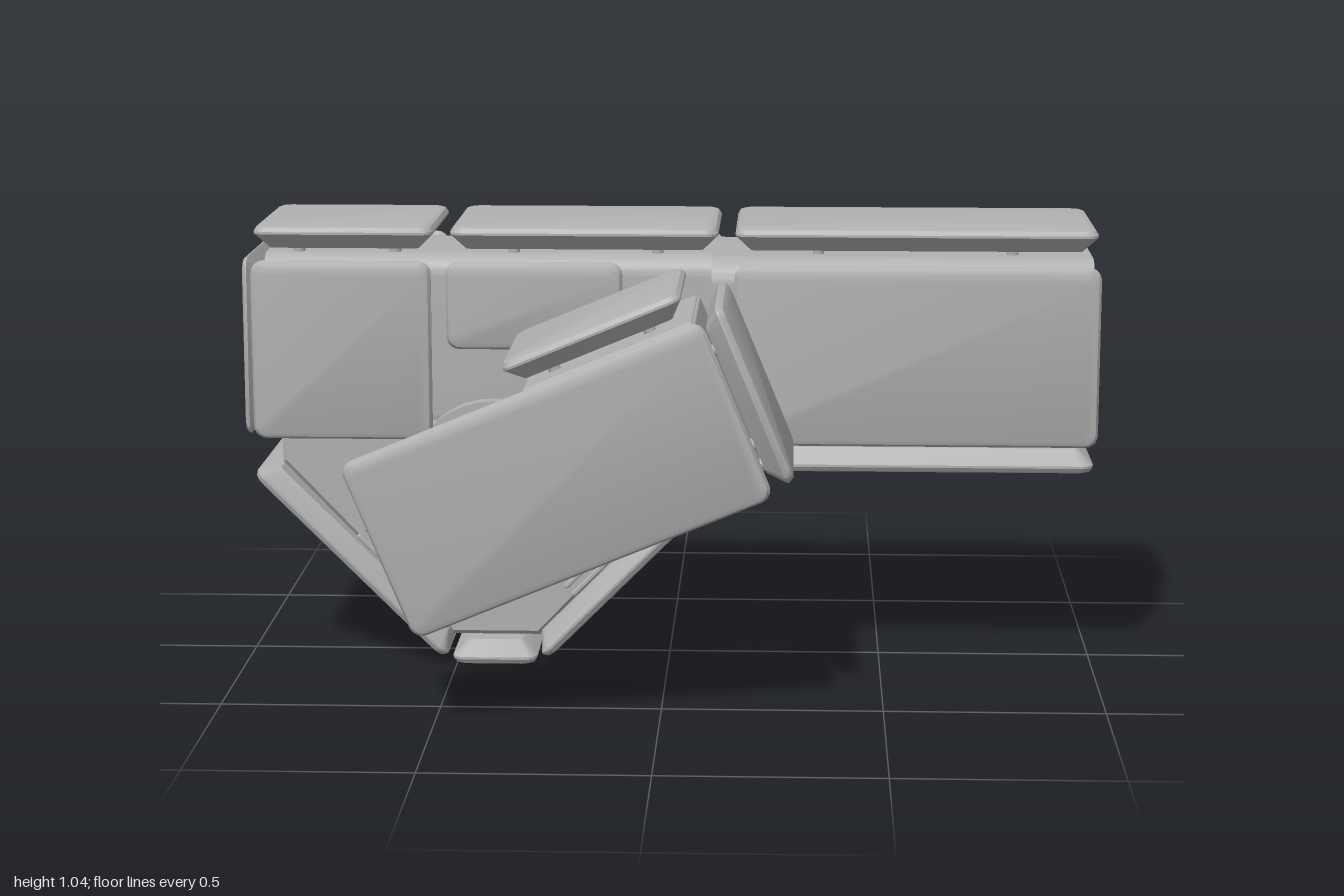
import * as THREE from 'three';
import { toCreasedNormals } from 'three/addons/utils/BufferGeometryUtils.js';
import { RoundedBoxGeometry } from 'three/addons/geometries/RoundedBoxGeometry.js';

const V = (x, y, z) => new THREE.Vector3(x, y, z);

// Rounded rectangle as a shape or path
function roundRect(w, h, r, Type = THREE.Shape) {
  const s = new Type(), a = w / 2 - r, b = h / 2 - r;
  s.absarc(a, b, r, 0, Math.PI / 2);
  s.absarc(-a, b, r, Math.PI / 2, Math.PI);
  s.absarc(-a, -b, r, Math.PI, Math.PI * 1.5);
  s.absarc(a, -b, r, Math.PI * 1.5, Math.PI * 2);
  s.closePath();
  return s;
}

// Bevelled armour plate: outer face at z = 0, tapering inwards to z = -t
function plateGeometry(w, h, t) {
  const rings = [[0.035, -t], [0, -t * 0.35], [0, -t * 0.25], [0.006, -t * 0.07], [0.016, 0]];
  const n = 24, pos = [], idx = [];
  rings.forEach(([inset, z]) => {
    const r = Math.max(0.008, 0.03 - inset * 0.5);
    for (let i = 0; i < n; i++) {
      const q = Math.floor(i / 6), a = (q + (i % 6) / 5) * Math.PI / 2;
      const sx = q === 0 || q === 3 ? 1 : -1, sy = q < 2 ? 1 : -1;
      pos.push(sx * (w / 2 - inset - r) + r * Math.cos(a), sy * (h / 2 - inset - r) + r * Math.sin(a), z);
    }
  });
  for (let k = 0; k < rings.length - 1; k++) {
    for (let i = 0; i < n; i++) {
      const a = k * n + i, b = k * n + (i + 1) % n;
      idx.push(a, b, b + n, a, b + n, a + n);
    }
  }
  const top = (rings.length - 1) * n;
  for (let i = 1; i < n - 1; i++) {
    idx.push(0, i + 1, i, top, top + i, top + i + 1);
  }
  const g = new THREE.BufferGeometry();
  g.setAttribute('position', new THREE.Float32BufferAttribute(pos, 3));
  g.setIndex(idx);
  return toCreasedNormals(g, 0.5);
}

export function createModel() {
  const root = new THREE.Group();
  root.name = 'armouredDevice';
  const grey = new THREE.MeshStandardMaterial({ color: 0xb0b0b0 });
  grey.name = 'plain grey';

  function add(parent, name, geo, x = 0, y = 0, z = 0) {
    const m = new THREE.Mesh(geo, grey);
    m.name = name;
    m.position.set(x, y, z);
    parent.add(m);
    return m;
  }
  const box = (p, name, w, h, d, x, y, z, r = 0.01) =>
    add(p, name, new RoundedBoxGeometry(w, h, d, 2, r), x, y, z);

  // Plate with four mounting pegs; c = middle of outer face, n = outward normal, u = width direction
  function plate(parent, name, w, h, c, n, u, t = 0.055) {
    const g = new THREE.Group();
    g.name = name;
    n.normalize();
    u.normalize();
    g.quaternion.setFromRotationMatrix(new THREE.Matrix4().makeBasis(u, n.clone().cross(u), n));
    g.position.copy(c);
    add(g, name + 'Panel', plateGeometry(w, h, t));
    for (const sx of [-1, 1]) for (const sy of [-1, 1]) {
      const peg = new THREE.CylinderGeometry(0.014, 0.014, 0.04, 10).rotateX(Math.PI / 2);
      add(g, name + 'Peg', peg, sx * w * 0.27, sy * h * 0.27, -t - 0.015);
    }
    parent.add(g);
  }

  // Extrude a y/z cross-section along x
  function alongX(shape, x0, x1) {
    const g = new THREE.ExtrudeGeometry(shape, { depth: x1 - x0, bevelEnabled: false, curveSegments: 6 });
    return toCreasedNormals(g.rotateY(Math.PI / 2).translate(x0, 0, 0), 0.6);
  }

  // Hollow front tube
  const tube = roundRect(0.43, 0.43, 0.06);
  tube.holes.push(roundRect(0.39, 0.39, 0.045, THREE.Path));
  add(root, 'hollowTube', alongX(tube, 0.1, 0.985), 0, 0.76, -0.105);

  // Rear body and the core seen down the tube
  add(root, 'rearBody', alongX(roundRect(0.37, 0.43, 0.05), -0.95, 0.13), 0, 0.76, -0.125);
  const core = (name, r, len, seg, x) =>
    add(root, name, toCreasedNormals(new THREE.CylinderGeometry(r, r, len, seg).rotateX(Math.PI / 2).rotateY(Math.PI / 2), 0.6), x, 0.76, -0.105);
  core('coreCollar', 0.18, 0.1, 8, 0.17);
  core('coreDrum', 0.158, 0.14, 36, 0.23);
  core('coreCap', 0.11, 0.15, 36, 0.235);

  // Top plates
  const X = () => V(1, 0, 0), up = () => V(0, 1, 0);
  for (const [a, b] of [[-0.97, -0.55], [-0.51, 0.115], [0.155, 0.995]]) {
    plate(root, 'topPlate', b - a, 0.41, V((a + b) / 2, 1.045, -0.105), up(), X());
  }
  // Plates on the sides: x range, y range, z of outer face, direction
  const sides = [
    [0.155, 0.995, 0.55, 0.97, 0.19, 1], [-0.97, -0.55, 0.55, 0.97, 0.15, 1],
    [-0.515, -0.105, 0.765, 0.97, 0.15, 1], [0.155, 0.995, 0.55, 0.97, -0.395, -1],
    [-0.08, 0.12, 0.55, 0.97, -0.395, -1], [-0.52, -0.11, 0.765, 0.97, -0.395, -1],
    [-0.97, -0.56, 0.55, 0.97, -0.395, -1]];
  for (const [a, b, y0, y1, z, s] of sides) {
    plate(root, s > 0 ? 'frontSidePlate' : 'backSidePlate', b - a, y1 - y0, V((a + b) / 2, (y0 + y1) / 2, z), V(0, 0, s), X());
  }
  plate(root, 'tubeBottomPlate', 0.84, 0.41, V(0.575, 0.47, -0.105), V(0, -1, 0), X());
  plate(root, 'endPlate', 0.41, 0.42, V(-0.998, 0.76, -0.105), V(-1, 0, 0), V(0, 0, 1), 0.035);

  // Wedge-shaped lower housing
  const wedge = new THREE.Shape([[-0.9, 0.57], [-0.9, 0.49], [-0.51, 0.08], [-0.31, 0.08], [0.08, 0.49], [0.08, 0.57]]
    .map(([x, y]) => new THREE.Vector2(x, y)));
  add(root, 'wedgeHousing', new THREE.ExtrudeGeometry(wedge, { depth: 0.32, bevelSize: 0.01, bevelThickness: 0.01, bevelSegments: 1 }), 0, 0, -0.23);
  for (const s of [-1, 1]) {
    plate(root, 'wedgePlate', 0.625, 0.42, V(-0.41 + s * 0.345, 0.24, -0.06), V(s, -1, 0), V(1, s, 0));
    // Vent ribs on the housing faces
    for (const z of [0.104, -0.244]) for (let i = 0; i < 4; i++) {
      const rib = box(root, 'ventRib', 0.2, 0.012, 0.012, -0.41 + s * (0.2 + i * 0.018), 0.265 + i * -0.018 + 0.03, z, 0.004);
      rib.rotation.z = s * Math.PI / 4;
    }
  }
  plate(root, 'wedgeBottomPlate', 0.2, 0.42, V(-0.41, 0.008, -0.06), V(0, -1, 0), X());
  const disc = (name, r, len, z) =>
    add(root, name, new THREE.CylinderGeometry(r, r, len, 36).rotateX(Math.PI / 2), -0.41, 0.44, z);
  disc('pivotDisc', 0.2, 0.04, 0.11);
  disc('pivotHub', 0.13, 0.05, 0.12);

  // Rear box turned on its corner
  const rear = new THREE.Group();
  rear.name = 'rearBox';
  rear.position.set(-0.41, 0.435, 0);
  rear.rotation.z = Math.PI / 4;
  root.add(rear);
  box(rear, 'rearBoxCore', 0.41, 0.41, 0.44, 0, 0, -0.455, 0.02);
  plate(rear, 'rearBoxBackPlate', 0.42, 0.42, V(0, 0, -0.725), V(0, 0, -1), X(), 0.035);
  for (const [dx, dy, lower] of [[1, 0, 0], [0, 1, 0], [-1, 0, 1], [0, -1, 1]]) {
    plate(rear, lower ? 'rearBoxLowerPlate' : 'rearBoxUpperPlate', 0.42, lower ? 0.41 : 0.2,
      V(dx * 0.27, dy * 0.27, lower ? -0.475 : -0.585), V(dx, dy, 0), V(-dy, dx, 0));
    // Grille ribs in front of the short upper plates
    if (!lower) for (let i = 0; i < 6; i++) {
      const k = -0.125 + i * 0.05;
      box(rear, 'grilleRib', dx ? 0.03 : 0.02, dy ? 0.03 : 0.02, 0.16, dx * 0.21 + dy * k, dy * 0.21 + dx * k, -0.36, 0.004);
    }
  }

  // Tilted guard on the front
  const guard = new THREE.Group();
  guard.name = 'frontGuard';
  guard.position.set(-0.22, 0.575, 0);
  guard.rotation.z = Math.PI / 8;
  root.add(guard);
  plate(guard, 'guardFacePlate', 0.85, 0.42, V(0, 0, 0.718), V(0, 0, 1), X(), 0.06);
  plate(guard, 'guardTopPlate', 0.42, 0.41, V(0.185, 0.275, 0.43), up(), X());
  plate(guard, 'guardEndPlate', 0.41, 0.42, V(0.475, 0, 0.43), V(1, 0, 0), V(0, 0, -1));
  box(guard, 'guardInnerFace', 0.77, 0.34, 0.018, 0, 0, 0.648, 0.006);
  box(guard, 'guardInnerTop', 0.4, 0.02, 0.38, 0.2, 0.195, 0.45, 0.006);
  box(guard, 'guardInnerEnd', 0.02, 0.37, 0.38, 0.395, 0.015, 0.45, 0.006);
  // Triangular bracket and rail inside the guard
  const tri = new THREE.Shape([[-0.1, -0.08], [0.1, -0.08], [0.1, 0.08]].map(([x, y]) => new THREE.Vector2(x, y)));
  tri.holes.push(new THREE.Path([[0, -0.055], [0.075, -0.055], [0.075, 0.01]].map(([x, y]) => new THREE.Vector2(x, y))));
  add(guard, 'guardBracket', new THREE.ExtrudeGeometry(tri, { depth: 0.02, bevelEnabled: false }), 0.22, 0, 0.62);
  box(guard, 'guardRail', 0.4, 0.05, 0.02, -0.12, -0.06, 0.635, 0.008);

  // Curved grip and the arm that carries the guard
  const path = new THREE.CatmullRomCurve3([V(0.06, 0.58, 0.06), V(0.04, 0.565, 0.18), V(-0.02, 0.545, 0.33),
    V(-0.13, 0.505, 0.42), V(-0.27, 0.46, 0.425), V(-0.4, 0.445, 0.4)]);
  add(root, 'curvedGrip', new THREE.TubeGeometry(path, 32, 0.045, 14));
  const end = path.getPoint(1), cap = add(root, 'gripCap', new THREE.CircleGeometry(0.045, 14), end.x, end.y, end.z);
  cap.lookAt(end.clone().add(path.getTangent(1)));
  box(root, 'guardArm', 0.07, 0.13, 0.22, 0.09, 0.7, 0.17, 0.02);
  box(root, 'strut', 0.03, 0.04, 0.14, -0.235, 0.6, 0.15, 0.008);

  return root;
}
